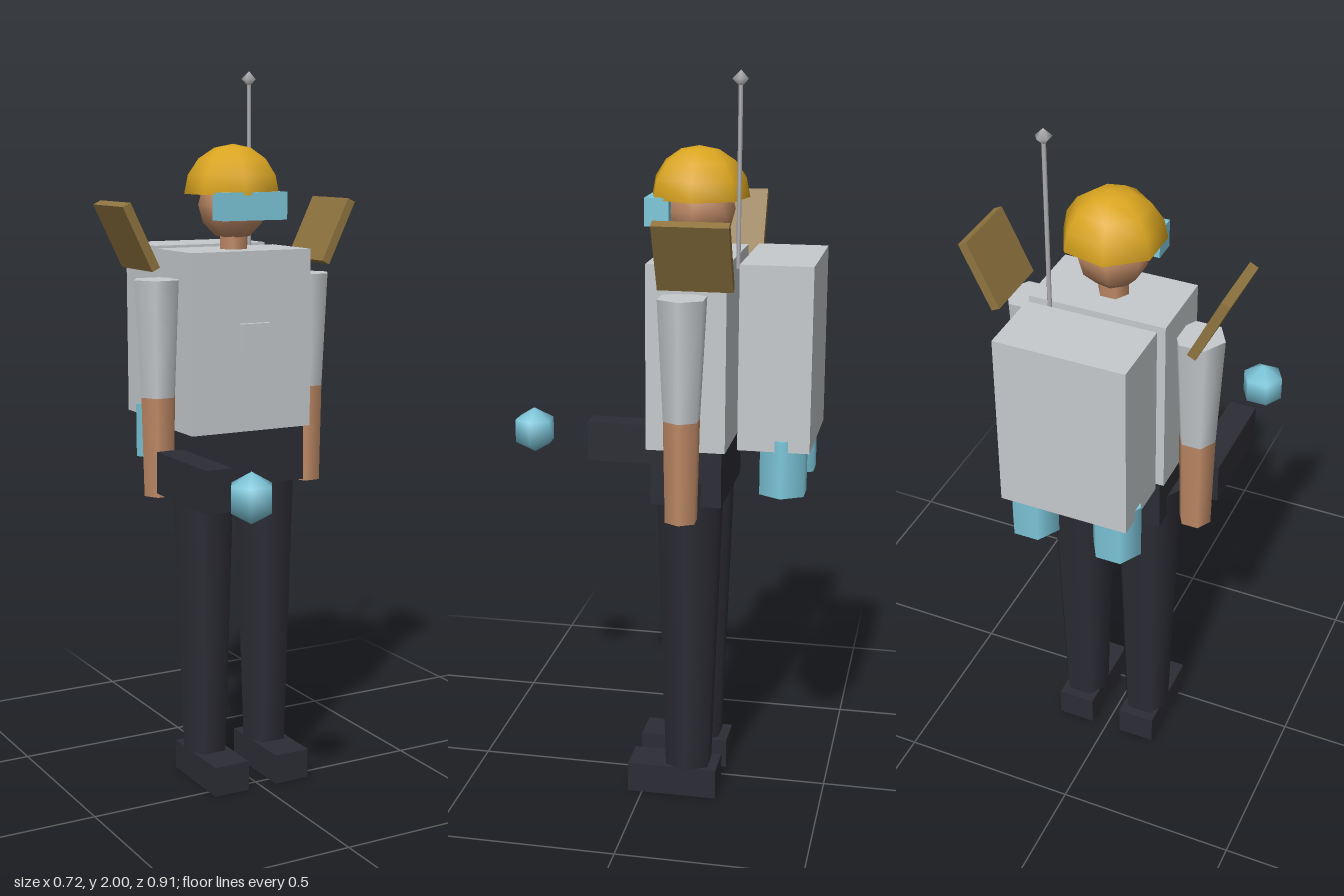
import * as THREE from 'three';

const paint = (name, color) => {
  const m = new THREE.MeshStandardMaterial({ color });
  m.name = name;
  return m;
};

export function createModel() {
  const model = new THREE.Group();
  model.name = 'explorer';
  const grey = paint('light grey', 0xc6cacd);
  const dark = paint('dark cloth', 0x2c2c35);
  const skin = paint('skin', 0xbf8a66);
  const teal = paint('pale blue', 0x7ec8dc);
  const gold = paint('helmet gold', 0xdaa520);
  const brown = paint('brown panel', 0x8f7440);
  const metal = paint('antenna metal', 0xb4b4b8);
  const Z = -0.125; // body centre line

  const add = (name, geo, mat, x, y, z) => {
    const mesh = new THREE.Mesh(geo, mat);
    mesh.name = name;
    mesh.position.set(x, y, z);
    model.add(mesh);
    return mesh;
  };
  const box = (name, mat, w, h, d, x, y, z) =>
    add(name, new THREE.BoxGeometry(w, h, d), mat, x, y, z);
  // six-sided tapered tube between two heights, corners pointing to the sides
  const tube = (name, mat, rTop, rBottom, y0, y1, x, z, sides = 6) =>
    add(name, new THREE.CylinderGeometry(rTop, rBottom, y1 - y0, sides).rotateY(Math.PI / 2),
      mat, x, (y0 + y1) / 2, z);

  // body
  box('torso', grey, 0.37, 0.495, 0.212, 0, 1.2675, Z);
  box('chestPlate', grey, 0.092, 0.095, 0.017, 0, 1.2725, -0.002);
  box('hips', dark, 0.34, 0.155, 0.19, 0, 0.9425, Z);

  // head
  tube('neck', skin, 0.042, 0.042, 1.5, 1.57, 0, Z);
  add('head', new THREE.SphereGeometry(0.097, 7, 6).rotateY(Math.PI), skin, 0, 1.635, Z);
  box('goggles', teal, 0.195, 0.075, 0.064, 0, 1.635, -0.03);

  // helmet dome with its underside
  add('helmet', new THREE.SphereGeometry(0.135, 7, 4, 0, Math.PI * 2, 0, Math.PI / 2)
    .rotateY(Math.PI), gold, 0, 1.665, Z);
  add('helmetUnderside', new THREE.CircleGeometry(0.135, 7).rotateX(Math.PI / 2),
    gold, 0, 1.665, Z);

  // limbs, shoulder panels and pack canisters on both sides
  for (const [label, s] of [['left', 1], ['right', -1]]) {
    tube(label + 'UpperArm', grey, 0.068, 0.051, 1.12, 1.44, s * 0.235, Z);
    tube(label + 'Forearm', skin, 0.051, 0.045, 0.845, 1.12, s * 0.235, Z);
    tube(label + 'Leg', dark, 0.097, 0.068, 0.085, 0.93, s * 0.0975, Z);
    box(label + 'Shoe', dark, 0.106, 0.085, 0.25, s * 0.097, 0.0425, -0.085);
    box(label + 'ShoulderPanel', brown, 0.025, 0.192, 0.194, s * 0.306, 1.557, -0.165)
      .rotation.z = -s * 0.45;
    tube(label + 'Canister', teal, 0.068, 0.068, 0.905, 1.06, s * 0.117, -0.378);
  }

  // backpack with antenna
  box('backpack', grey, 0.35, 0.49, 0.19, 0, 1.275, -0.357);
  tube('antenna', metal, 0.006, 0.006, 1.5, 1.98, 0.118, -0.25, 5);
  add('antennaTip', new THREE.SphereGeometry(0.022, 5, 2).rotateY(Math.PI),
    metal, 0.118, 1.978, -0.25);

  // hand-held tool and the orb floating ahead of it
  box('tool', dark, 0.077, 0.115, 0.292, -0.235, 0.922, 0.088);
  add('orb', new THREE.SphereGeometry(0.067, 6, 3), teal, -0.235, 0.938, 0.403);

  return model;
}
